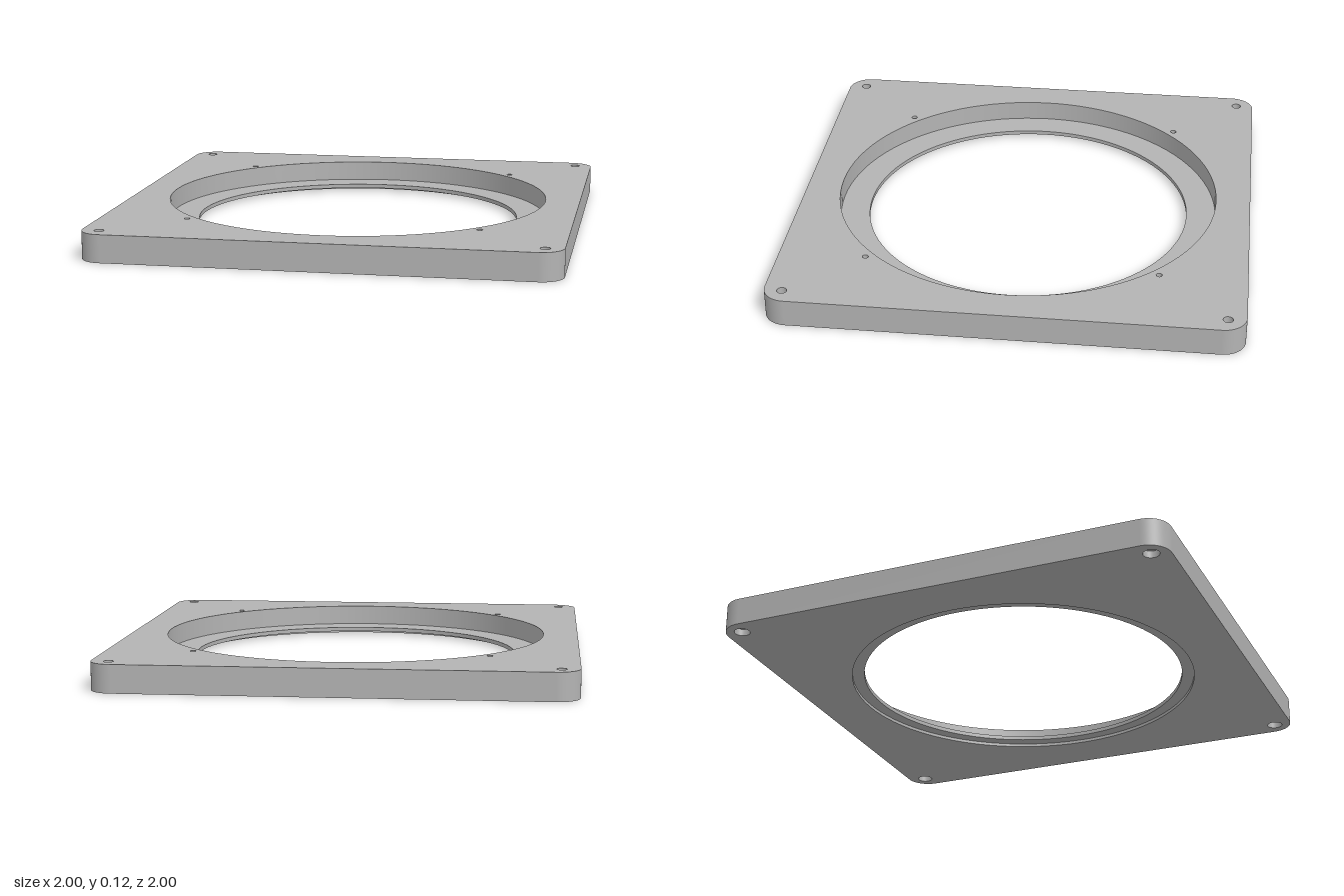
import * as THREE from 'three';

const HEIGHT = 0.12, HALF = 1, CORNER = 0.1, SEGMENTS = 96;
const RECESS = 0.848, BORE = 0.718, RELIEF = 0.772;   // radii of the central opening
const FLOOR = 0.032, STEP = 0.014;                    // heights of its two ledges
const BOLT = { at: 0.922, radius: 0.021, sink: 0.034, depth: 0.03 };
const PIN = { at: 0.627, radius: 0.013, bottom: 0.05 };

export function createModel() {
  const grey = new THREE.MeshStandardMaterial({ color: 0xb3b3b3 });
  grey.name = 'grey';
  const model = new THREE.Group();
  model.name = 'mountingPlate';

  const add = (parent, name, geometry) => {
    const mesh = new THREE.Mesh(geometry, grey);
    mesh.name = name;
    parent.add(mesh);
    return mesh;
  };

  // Rounded square with round holes, each given as [x, y, radius]
  const plateFace = (holes) => {
    const a = HALF - CORNER, shape = new THREE.Shape();
    [[a, a], [-a, a], [-a, -a], [a, -a]].forEach(([x, y], i) =>
      shape.absarc(x, y, CORNER, i * Math.PI / 2, (i + 1) * Math.PI / 2, false));
    shape.closePath();
    for (const [x, y, r] of holes) {
      const hole = new THREE.Path();
      hole.absarc(x, y, r, 0, Math.PI * 2, true);
      shape.holes.push(hole);
    }
    return new THREE.ShapeGeometry(shape, SEGMENTS / 2);
  };
  const fourHoles = (d, r) => [[d, d, r], [-d, d, r], [-d, -d, r], [d, -d, r]];

  // Stepped hole: one ring per profile segment, from the top down, keeps edges sharp
  const steppedHole = (parent, name, profile, x = 0, z = 0) => {
    const group = new THREE.Group();
    group.name = name;
    group.position.set(x, 0, z);
    for (let i = 0; i < profile.length - 1; i++) {
      const ring = [profile[i], profile[i + 1]].map(([r, y]) => new THREE.Vector2(r, y));
      add(group, name + 'Ring' + (i + 1), new THREE.LatheGeometry(ring, SEGMENTS));
    }
    parent.add(group);
  };

  // Top and bottom faces
  const top = plateFace([[0, 0, RECESS], ...fourHoles(BOLT.at, BOLT.radius), ...fourHoles(PIN.at, PIN.radius)]);
  add(model, 'topFace', top.rotateX(-Math.PI / 2)).position.y = HEIGHT;
  const bottom = plateFace([[0, 0, RELIEF], ...fourHoles(BOLT.at, BOLT.sink)]);
  add(model, 'bottomFace', bottom.rotateX(Math.PI / 2));

  // Central opening with upper recess and shallow relief underneath
  steppedHole(model, 'centralOpening', [
    [RECESS, HEIGHT], [RECESS, FLOOR], [BORE, FLOOR], [BORE, STEP], [RELIEF, STEP], [RELIEF, 0],
  ]);

  // Each quarter: a straight side, a rounded corner, a bolt hole and a blind pin hole
  for (let i = 0; i < 4; i++) {
    const quarter = new THREE.Group();
    quarter.name = 'quarter' + (i + 1);
    quarter.rotation.y = i * Math.PI / 2;
    model.add(quarter);

    const side = new THREE.PlaneGeometry(2 * (HALF - CORNER), HEIGHT);
    add(quarter, 'side', side).position.set(0, HEIGHT / 2, HALF);
    const corner = new THREE.CylinderGeometry(CORNER, CORNER, HEIGHT, 24, 1, true, 0, Math.PI / 2);
    add(quarter, 'roundedCorner', corner).position.set(HALF - CORNER, HEIGHT / 2, HALF - CORNER);

    steppedHole(quarter, 'boltHole', [
      [BOLT.radius, HEIGHT], [BOLT.radius, BOLT.depth], [BOLT.sink, BOLT.depth], [BOLT.sink, 0],
    ], BOLT.at, BOLT.at);
    steppedHole(quarter, 'pinHole', [
      [PIN.radius, HEIGHT], [PIN.radius, PIN.bottom], [0, PIN.bottom],
    ], PIN.at, PIN.at);
  }
  return model;
}
